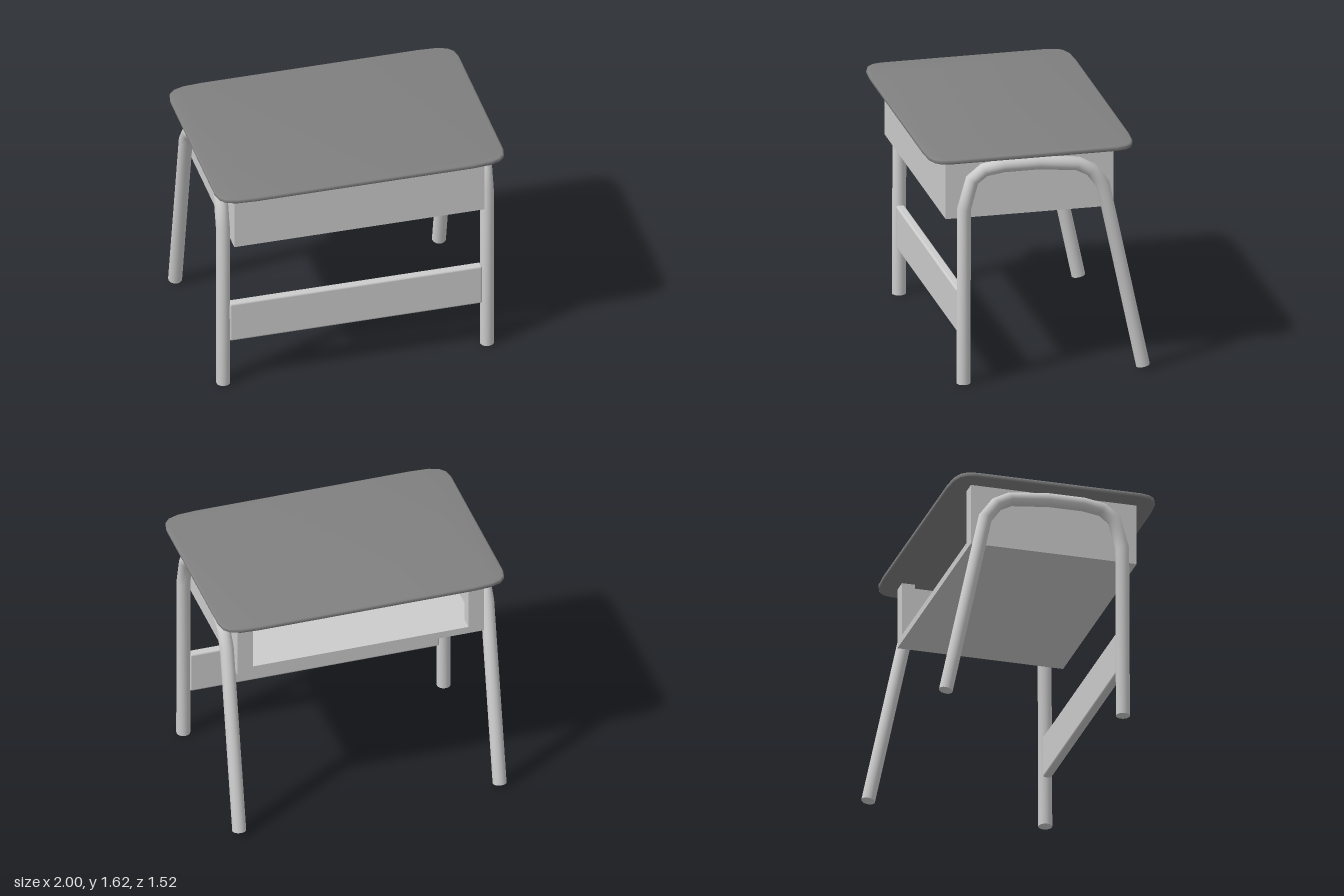
import * as THREE from 'three';
import { toCreasedNormals } from 'three/addons/utils/BufferGeometryUtils.js';
import { RoundedBoxGeometry } from 'three/addons/geometries/RoundedBoxGeometry.js';

const grey = new THREE.MeshStandardMaterial({ color: 0xcccccc });
const darkGrey = new THREE.MeshStandardMaterial({ color: 0x808080 });

// Straight-segment path whose rings sit on the corners, giving mitred bends
class BentPath extends THREE.Curve {
  constructor(points) {
    super();
    this.points = points;
  }
  index(u) {
    return Math.round(u * (this.points.length - 1));
  }
  getPointAt(u) {
    return this.points[this.index(u)].clone();
  }
  getPoint(u) {
    return this.getPointAt(u);
  }
  getTangentAt(u) {
    const p = this.points, i = this.index(u), t = new THREE.Vector3();
    if (i > 0) t.add(p[i].clone().sub(p[i - 1]).normalize());
    if (i < p.length - 1) t.add(p[i + 1].clone().sub(p[i]).normalize());
    return t.normalize();
  }
}

function addMesh(parent, name, geometry, material = grey, x = 0, y = 0, z = 0) {
  const mesh = new THREE.Mesh(geometry, material);
  mesh.name = name;
  mesh.position.set(x, y, z);
  parent.add(mesh);
  return mesh;
}

// Box given by its minimum and maximum corners
function addBox(parent, name, [x0, y0, z0], [x1, y1, z1]) {
  return addMesh(parent, name, new THREE.BoxGeometry(x1 - x0, y1 - y0, z1 - z0), grey,
    (x0 + x1) / 2, (y0 + y1) / 2, (z0 + z1) / 2);
}

// Thin slab with soft corners and rounded rim
function createTop() {
  const corner = [[1, 0.57], [0.985, 0.638], [0.95, 0.677], [0.88, 0.702], [0.75, 0.711]];
  const outline = [];
  for (const [sx, sy] of [[1, 1], [-1, 1], [-1, -1], [1, -1]]) {
    const points = corner.map(([x, y]) => new THREE.Vector2(x * sx, y * sy));
    outline.push(...(sx * sy > 0 ? points : points.reverse()));
  }
  const bevel = 0.012;
  const geometry = new THREE.ExtrudeGeometry(new THREE.Shape(outline), {
    depth: 0.034 - 2 * bevel, bevelThickness: bevel, bevelSize: bevel,
    bevelOffset: -bevel, bevelSegments: 3,
  });
  geometry.rotateX(-Math.PI / 2);
  geometry.translate(0, 1.586 + bevel, 0.05);
  return toCreasedNormals(geometry, 0.65);
}

// One bent tube forms a front leg, the top rail and a splayed back leg
function createLegFrame(x) {
  const radius = 0.047, sides = 20;
  const points = [
    [0.52, 0], [0.515, 1.235], [0.46, 1.435], [0.378, 1.5], [0.245, 1.522],
    [0, 1.522], [-0.265, 1.493], [-0.36, 1.443], [-0.44, 1.333], [-0.715, 0.025],
  ].map(([z, y]) => new THREE.Vector3(x, y, z));
  const path = new BentPath(points);
  const frame = new THREE.Group();
  frame.name = 'legFrame';
  addMesh(frame, 'bentTube', new THREE.TubeGeometry(path, points.length - 1, radius, sides, false));
  for (const u of [0, 1]) {
    const cap = addMesh(frame, 'footCap', new THREE.CircleGeometry(radius, sides));
    const outward = path.getTangentAt(u).multiplyScalar(u ? 1 : -1);
    cap.position.copy(path.getPointAt(u));
    cap.quaternion.setFromUnitVectors(new THREE.Vector3(0, 0, 1), outward);
  }
  return frame;
}

// Book box, open at the back, with a thicker post at each side of the opening
function createBookBox() {
  const box = new THREE.Group();
  box.name = 'bookBox';
  const w = 0.865, y0 = 1.155, y1 = 1.59, back = -0.525, front = 0.63, t = 0.05;
  addBox(box, 'boxFloor', [-w, y0, back], [w, y0 + t, front]);
  addBox(box, 'boxFront', [-w, y0 + t, front - t], [w, y1, front]);
  for (const s of [-1, 1]) {
    const span = (thickness) => (s > 0 ? [w - thickness, w] : [-w, -w + thickness]);
    const [a, b] = span(t);
    addBox(box, 'boxSide', [a, y0 + t, back + 0.09], [b, y1, front - t]);
    const [c, d] = span(0.11);
    addBox(box, 'boxPost', [c, y0 + t, back], [d, y1, back + 0.09]);
  }
  return box;
}

export function createModel() {
  const desk = new THREE.Group();
  desk.name = 'schoolDesk';
  addMesh(desk, 'desktop', createTop(), darkGrey);
  desk.add(createBookBox());
  for (const s of [-1, 1]) desk.add(createLegFrame(0.913 * s));
  // Panel joining the two front legs
  addMesh(desk, 'frontPanel', new RoundedBoxGeometry(1.75, 0.3, 0.06, 3, 0.015), grey, 0, 0.49, 0.52);
  return desk;
}
